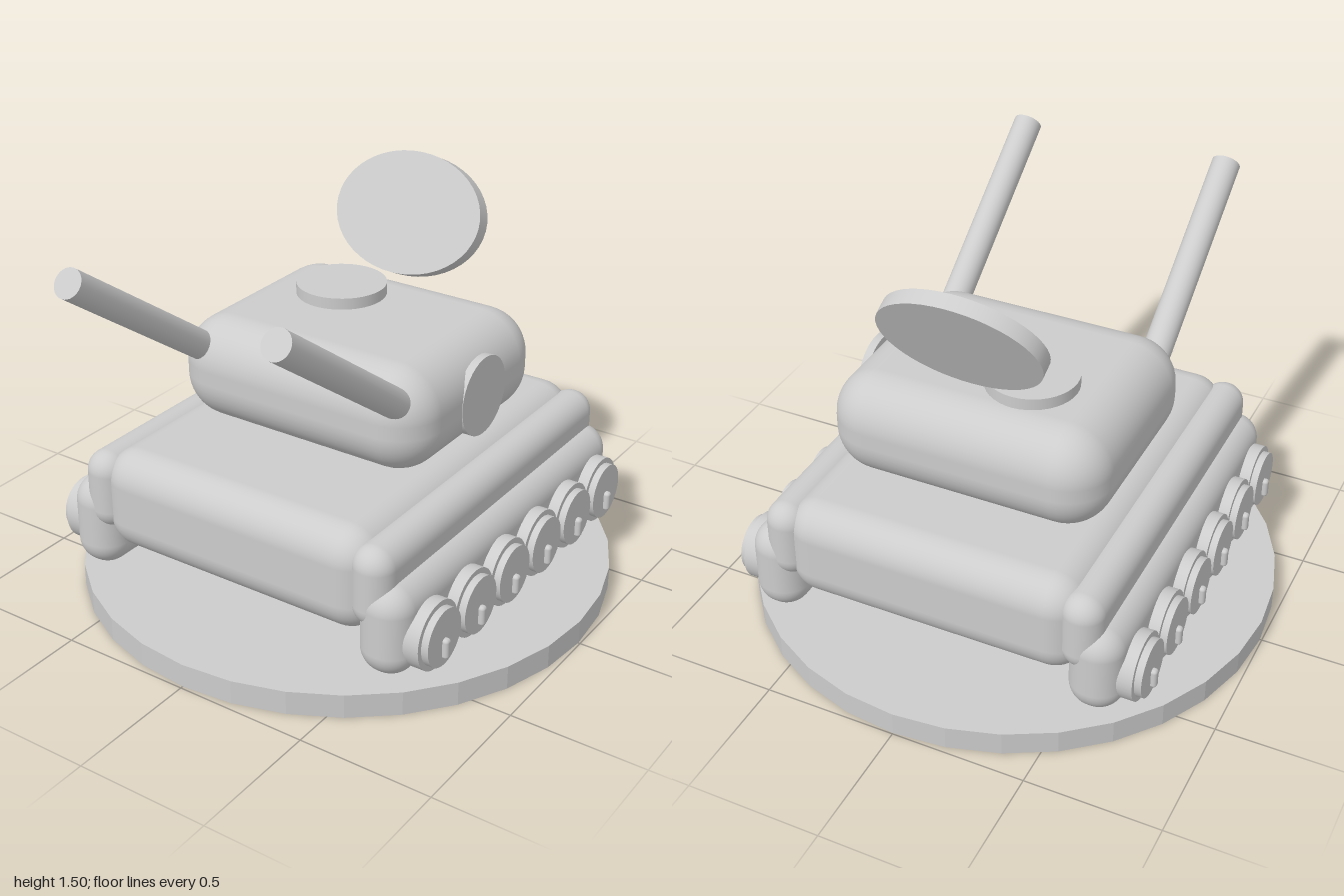
import * as THREE from 'three';
import { RoundedBoxGeometry } from 'three/addons/geometries/RoundedBoxGeometry.js';

export function createModel() {
  const model = new THREE.Group();
  const grey = new THREE.MeshStandardMaterial({ color: 0xcccccc });
  grey.name = 'plain grey';
  const facetedGrey = grey; // the whole model shares one colour

  const add = (name, geometry, x, y, z, material = grey) => {
    const mesh = new THREE.Mesh(geometry, material);
    mesh.name = name;
    mesh.position.set(x, y, z);
    model.add(mesh);
    return mesh;
  };
  const box = (w, h, d, r) => new RoundedBoxGeometry(w, h, d, 6, r);
  const disc = (r, h, n = 40) => new THREE.CylinderGeometry(r, r, h, n);

  // Round display base with faceted rim
  const baseGeometry = disc(0.993, 0.09, 32).toNonIndexed();
  baseGeometry.computeVertexNormals();
  add('base', baseGeometry, 0, 0.045, -0.003, facetedGrey);

  // Hull and turret
  add('hull', box(1.14, 0.385, 1.5, 0.12), 0, 0.432, -0.005);
  add('turret', box(1.05, 0.39, 0.877, 0.17), 0, 0.817, -0.07);
  add('turretSideDisc', disc(0.148, 0.03), 0.512, 0.813, -0.083).rotation.z = Math.PI / 2;
  add('hatch', disc(0.168, 0.06), -0.148, 1.025, -0.184);

  // Tilted oval dish
  const dish = add('dish', disc(1, 0.06, 48), 0, 1.278, -0.418);
  dish.scale.set(0.305, 1, 0.227);
  dish.rotation.x = 1.115;

  for (const side of [-1, 1]) {
    const label = side > 0 ? 'left' : 'right';

    // Raised gun barrels
    const barrel = add(label + 'Barrel', disc(0.054, 0.81, 32), side * 0.412, 1.146, 0.64);
    barrel.rotation.x = 0.952;

    // Fender above the track
    add(label + 'Fender', box(0.158, 0.3, 1.5, 0.078), side * 0.57, 0.45, -0.004);
    add(label + 'Track', box(0.2, 0.345, 1.506, 0.095), side * 0.62, 0.303, -0.003);

    // Stepped road wheels with a small slot-shaped hub
    for (let i = 0; i < 6; i++) {
      const z = 0.584 - i * 0.234;
      const wheel = add(label + 'Wheel', disc(0.125, 0.11), side * 0.707, 0.275, z);
      wheel.rotation.z = Math.PI / 2;
      const cap = add(label + 'WheelCap', disc(0.105, 0.05), side * 0.763, 0.275, z);
      cap.rotation.z = Math.PI / 2;
      add(label + 'WheelHub', box(0.05, 0.076, 0.03, 0.012), side * 0.783, 0.236, z);
    }
  }
  return model;
}
